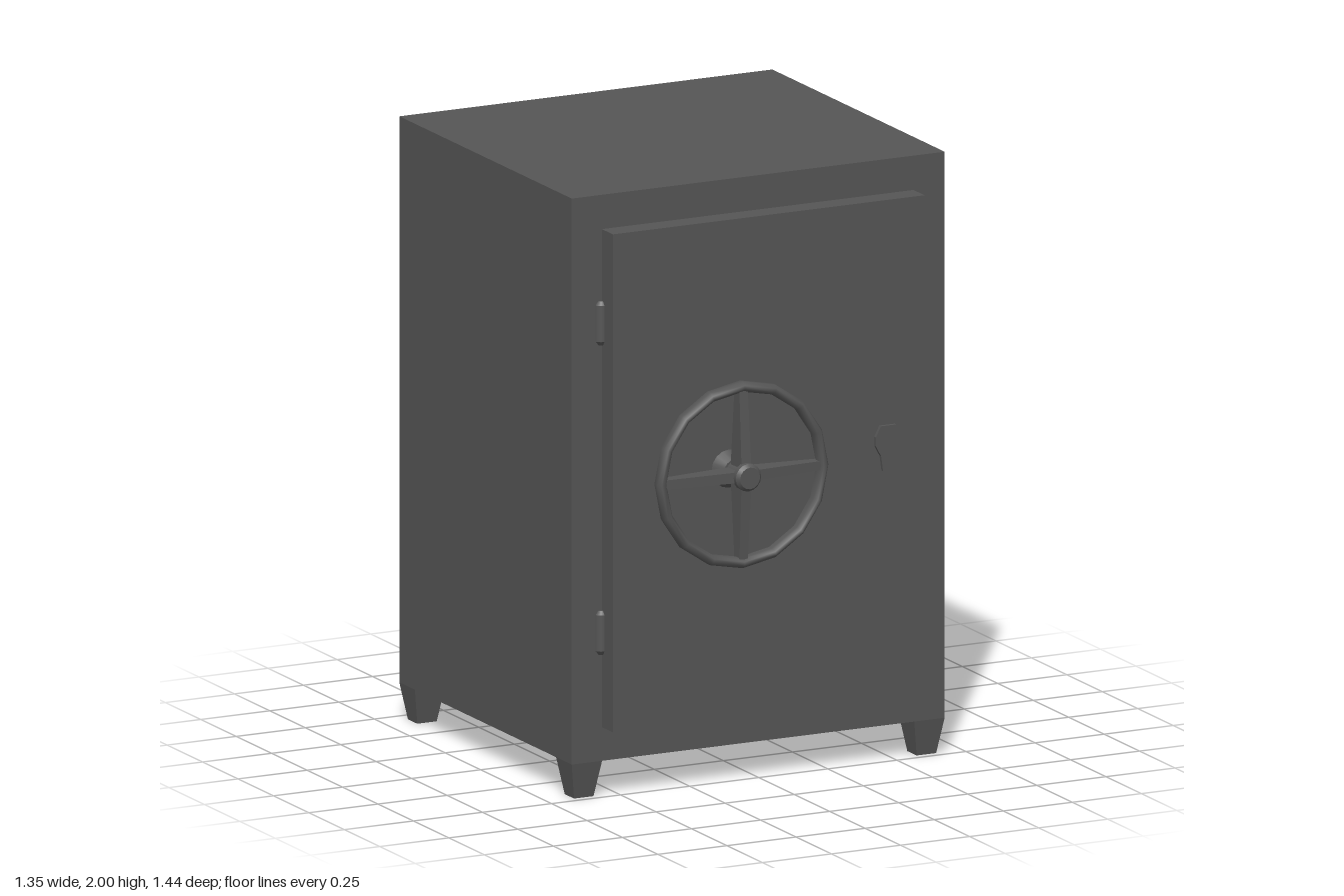
import * as THREE from 'three';

const steel = new THREE.MeshStandardMaterial({ color: 0x555555 });
steel.name = 'dark grey steel';

function add(parent, name, geometry, x = 0, y = 0, z = 0) {
  const mesh = new THREE.Mesh(geometry, steel);
  mesh.name = name;
  mesh.position.set(x, y, z);
  parent.add(mesh);
  return mesh;
}

// Box whose one end (along an axis) is scaled on the other two axes
function taperedBox(w, h, d, atTop, sx, sz) {
  const g = new THREE.BoxGeometry(w, h, d);
  const p = g.attributes.position;
  for (let i = 0; i < p.count; i++) {
    if ((p.getY(i) > 0) === atTop) {
      p.setX(i, p.getX(i) * sx);
      p.setZ(i, p.getZ(i) * sz);
    }
  }
  g.computeVertexNormals();
  return g;
}

// Lathe profile given as [radius, height], with hard edges between bands
function turned(points, sides) {
  const profile = points.flatMap(([r, h]) => [new THREE.Vector2(r, h), new THREE.Vector2(r, h)]);
  return new THREE.LatheGeometry(profile.slice(1, -1), sides);
}

function createWheel() {
  const wheel = new THREE.Group();
  wheel.name = 'handWheel';
  wheel.position.set(-0.145, 1.06, 0.57);
  wheel.rotation.x = Math.PI / 2; // local y points out of the door

  // Rim: oval section swept around sixteen sides
  const section = [];
  for (let i = 0; i <= 8; i++) {
    const a = (i / 8 + 1 / 16) * Math.PI * 2;
    section.push(new THREE.Vector2(0.293 - 0.018 * Math.cos(a), -0.027 * Math.sin(a)));
  }
  section.reverse();
  // order the section so that faces look outwards
  const rim = new THREE.LatheGeometry(section.reverse().map((v) => new THREE.Vector2(v.x, v.y)), 16);
  add(wheel, 'wheelRim', rim, 0, 0.09, 0);

  // Spokes: deep at the hub, shallow at the rim
  for (let i = 0; i < 4; i++) {
    const arm = new THREE.Group();
    arm.name = 'spokeArm';
    arm.position.y = 0.088;
    arm.rotation.y = i * Math.PI / 2;
    const spoke = add(arm, 'spoke', taperedBox(0.078, 0.265, 0.036, true, 0.46, 0.85), 0, 0, 0.1475);
    spoke.rotation.set(Math.PI / 2, Math.PI / 2, 0);
    spoke.rotation.order = 'XYZ';
    wheel.add(arm);
  }

  // Flared mount, shaft and end cap
  add(wheel, 'wheelMount', turned([[0.066, 0], [0.04, 0.045], [0.033, 0.045], [0.033, 0.12],
    [0.046, 0.12], [0.046, 0.14], [0.036, 0.152], [0, 0.152]], 16));
  return wheel;
}

export function createModel() {
  const safe = new THREE.Group();
  safe.name = 'safe';

  add(safe, 'body', new THREE.BoxGeometry(1.35, 1.88, 1.216), 0, 1.06, -0.112);
  add(safe, 'door', new THREE.BoxGeometry(1.128, 1.654, 0.08), -0.002, 1.059, 0.534);

  // Tapered feet under the four corners
  for (const x of [-0.62, 0.62]) {
    for (const z of [-0.665, 0.441]) {
      add(safe, 'foot', taperedBox(0.11, 0.12, 0.11, false, 0.64, 0.6), x, 0.06, z);
    }
  }

  // Hinge knuckles
  for (const y of [0.547, 1.575]) {
    add(safe, 'hinge', turned([[0, -0.073], [0.015, -0.073], [0.025, -0.06],
      [0.025, 0.06], [0.015, 0.073], [0, 0.073]], 12), -0.565, y, 0.49);
  }

  // Keyhole cover: rounded head narrowing downwards
  const cover = new THREE.Shape([[-0.02, 0], [0.02, 0], [0.027, 0.05], [0.046, 0.085], [0.046, 0.115],
    [0.028, 0.15], [-0.028, 0.15], [-0.046, 0.115], [-0.046, 0.085], [-0.027, 0.05]]
    .map(([x, y]) => new THREE.Vector2(x, y)));
  add(safe, 'keyholeCover', new THREE.ExtrudeGeometry(cover, { depth: 0.016, bevelEnabled: false }),
    0.426, 0.99, 0.57);

  safe.add(createWheel());
  return safe;
}
